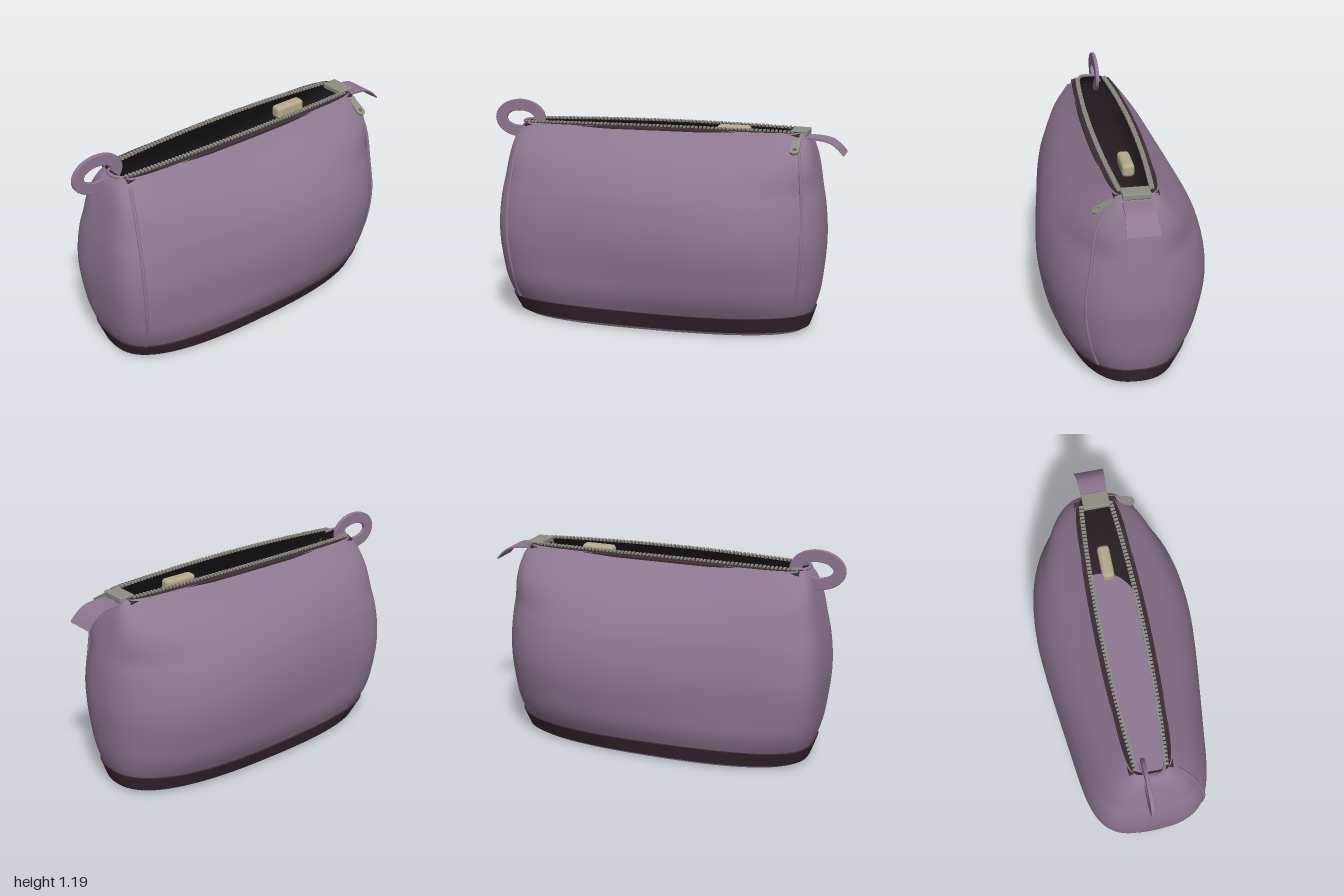
import * as THREE from 'three';
import { toCreasedNormals } from 'three/addons/utils/BufferGeometryUtils.js';
import { RoundedBoxGeometry } from 'three/addons/geometries/RoundedBoxGeometry.js';

const mat = (color) => new THREE.MeshStandardMaterial({ color, side: THREE.DoubleSide });

// Body profile: height, then half width and half depth
const heights = [0, 0.02, 0.1, 0.2, 0.3, 0.5, 0.7, 0.8, 0.9, 1.0, 1.05, 1.08];
const halfSizes = [
  0.8, 0.29, 0.81, 0.3, 0.85, 0.345, 0.88, 0.395, 0.895, 0.42, 0.91, 0.443,
  0.897, 0.41, 0.88, 0.365, 0.86, 0.295, 0.833, 0.205, 0.81, 0.16, 0.785, 0.135,
];
const profile = new THREE.CubicInterpolant(heights, halfSizes, 2);
const sizeAt = (y) => Array.from(profile.evaluate(y));

// Rounded outline at height y; fuller on the +x side around mid height
function ringPoint(a, b, y, angle) {
  const c = Math.cos(angle), s = Math.sin(angle);
  const belly = Math.sin(Math.PI * Math.min(y / 1.08, 1));
  const n = 2.5 + 2.5 * THREE.MathUtils.smoothstep(y, 0.75, 1.08) + 1.8 * belly * (0.5 - 0.5 * c);
  const x = a * Math.sign(c) * Math.abs(c) ** (2 / n);
  const taper = 1 - 0.16 * belly * THREE.MathUtils.smoothstep(-x, -0.3, 0.6);
  return new THREE.Vector3(x, y, b * Math.sign(s) * Math.abs(s) ** (2 / n) * taper);
}

// Surface through rows of points
function loft(rows, closed) {
  const n = rows[0].length, index = [];
  for (let j = 0; j < rows.length - 1; j++) {
    for (let i = 0; i < (closed ? n : n - 1); i++) {
      const k = (i + 1) % n;
      const a = j * n + i, b = j * n + k, c = a + n, d = b + n;
      index.push(a, c, b, b, c, d);
    }
  }
  const geo = new THREE.BufferGeometry().setFromPoints(rows.flat());
  geo.setIndex(index);
  geo.computeVertexNormals();
  return geo;
}

const SEGMENTS = 160;
const ring = (a, b, y) =>
  Array.from({ length: SEGMENTS }, (_, i) => ringPoint(a, b, y, (i / SEGMENTS) * Math.PI * 2));

function shell(inset, y0) {
  const rows = [];
  for (let j = 0; j <= 48; j++) {
    const y = y0 + (1.08 - y0) * (j / 48);
    const [a, b] = sizeAt(y);
    rows.push(ring(a - inset, b - inset, y));
  }
  return loft(rows, true);
}

// Point on the front of the body at a given x and y
function frontPoint(x, y) {
  const [a, b] = sizeAt(y);
  let lo = 0, hi = Math.PI;
  for (let i = 0; i < 30; i++) {
    const mid = (lo + hi) / 2;
    if (ringPoint(a, b, y, mid).x > x) lo = mid; else hi = mid;
  }
  return ringPoint(a, b, y, lo);
}

export function createModel() {
  const group = new THREE.Group();
  const fabric = mat(0x8f7893), dark = mat(0x3c2b33), lining = mat(0x2a2025);
  const metal = mat(0x8e8e84), beige = mat(0xb5a98c);
  const add = (name, geo, material, parent = group) => {
    const mesh = new THREE.Mesh(geo, material);
    mesh.name = name;
    parent.add(mesh);
    return mesh;
  };

  // Fabric shell, dark lining, base and floor
  add('body', shell(0, 0), fabric);
  add('lining', shell(0.012, 0.02), lining);
  for (const [name, y, inset] of [['base', 0, 0], ['floor', 0.02, 0.005]]) {
    const [a, b] = sizeAt(y);
    const shape = new THREE.Shape(ring(a - inset, b - inset, y).map((p) => new THREE.Vector2(p.x, p.z)));
    add(name, new THREE.ShapeGeometry(shape).rotateX(Math.PI / 2).translate(0, y, 0), fabric);
  }

  // Flared band round the base
  const bandRows = [[0.805, 0.295, 0.02], [0.832, 0.318, 0.02], [0.863, 0.363, 0.11], [0.845, 0.342, 0.11]];
  add('baseBand', toCreasedNormals(loft(bandRows.map((r) => ring(...r)), true), 0.7), dark);

  // Two piped seams down the front corners
  for (const side of [-1, 1]) {
    const pts = [[0.765, 1.04], [0.793, 0.9], [0.81, 0.7], [0.815, 0.5], [0.8, 0.3], [0.775, 0.12], [0.755, 0.04]]
      .map(([x, y]) => frontPoint(side * x, y));
    const seam = new THREE.CatmullRomCurve3(pts);
    add(side > 0 ? 'leftSeam' : 'rightSeam', new THREE.TubeGeometry(seam, 60, 0.009, 8), fabric);
  }

  // Zip tapes and teeth along both lips of the opening
  const lip = (x) => 0.112 - 0.035 * (x / 0.77) ** 2;
  const lipY = (x) => 1.082 + 0.01 * (1 - (x / 0.77) ** 2);
  for (const side of [-1, 1]) {
    const label = side > 0 ? 'front' : 'back';
    const rows = [];
    for (let i = 0; i <= 40; i++) {
      const x = -0.77 + (1.54 * i) / 40;
      rows.push([[0, 0], [0.036, -0.012], [0.036, -0.022], [0, -0.01]].map(
        ([dz, dy]) => new THREE.Vector3(x, lipY(x) + dy, side * (lip(x) + dz))));
    }
    add(label + 'ZipTape', toCreasedNormals(loft(rows, true), 0.5), dark);

    const teeth = new THREE.InstancedMesh(new THREE.BoxGeometry(0.012, 0.012, 0.024), metal, 70);
    const toothGroup = new THREE.Group();
    toothGroup.name = label + 'ZipTeeth';
    for (let i = 0; i < teeth.count; i++) {
      const x = -0.75 + (1.48 * i) / (teeth.count - 1);
      add('tooth', teeth.geometry, metal, toothGroup).position.set(x, lipY(x), side * lip(x));
    }
    group.add(toothGroup);
  }

  // Zip slider with a hanging pull
  add('slider', new RoundedBoxGeometry(0.09, 0.032, 0.145, 2, 0.008), metal).position.set(0.76, 1.076, 0.003);
  const pull = new THREE.Shape();
  pull.moveTo(-0.018, 0).lineTo(0.018, 0).lineTo(0.025, 0.15);
  pull.absarc(0, 0.15, 0.025, 0, Math.PI, false);
  pull.lineTo(-0.018, 0);
  pull.holes.push(new THREE.Path().absarc(0, 0.145, 0.011, 0, Math.PI * 2, true));
  const pullMesh = add('zipPull', new THREE.ExtrudeGeometry(pull, { depth: 0.014, bevelEnabled: false }), metal);
  pullMesh.position.set(0.76, 1.083, 0.07);
  pullMesh.rotation.x = 2.11;

  // Small block inside the mouth of the bag
  add('innerBlock', new RoundedBoxGeometry(0.185, 0.07, 0.065, 3, 0.02), beige).position.set(0.395, 1.06, -0.01);

  // Curved fabric tab at the slider end
  const tabLine = new THREE.SplineCurve([[0.78, 1.055], [0.86, 1.052], [0.92, 1.04], [0.965, 1.01], [0.997, 0.975]]
    .map((p) => new THREE.Vector2(...p))).getPoints(20);
  const tabRows = tabLine.map((p, i) => {
    const w = 0.07 + 0.013 * (i / 20);
    return [[0, w], [0, -w], [-0.011, -w], [-0.011, w]].map(
      ([dy, z]) => new THREE.Vector3(p.x - dy * 0.25, p.y + dy, z + 0.006));
  });
  add('endTab', toCreasedNormals(loft(tabRows, true), 0.6), fabric);

  // Flat oval carrying loop at the other end, and the cord holding it
  const oval = new THREE.Shape().absellipse(0, 0, 0.15, 0.107, 0, Math.PI * 2);
  oval.holes.push(new THREE.Path().absellipse(0, 0, 0.083, 0.042, 0, Math.PI * 2, true));
  const loopGeo = new THREE.ExtrudeGeometry(oval, {
    depth: 0.012, bevelThickness: 0.004, bevelSize: 0.004, bevelOffset: -0.004, bevelSegments: 2, curveSegments: 32,
  });
  add('carryLoop', loopGeo, fabric).position.set(-0.85, 1.083, -0.042);
  const cord = new THREE.CatmullRomCurve3([[-0.72, 1.075, -0.05], [-0.785, 1.08, -0.035], [-0.8, 1.08, 0.01],
    [-0.785, 1.08, 0.055], [-0.74, 1.07, 0.075]].map((p) => new THREE.Vector3(...p)));
  add('loopCord', new THREE.TubeGeometry(cord, 30, 0.009, 8), fabric);

  return group;
}
